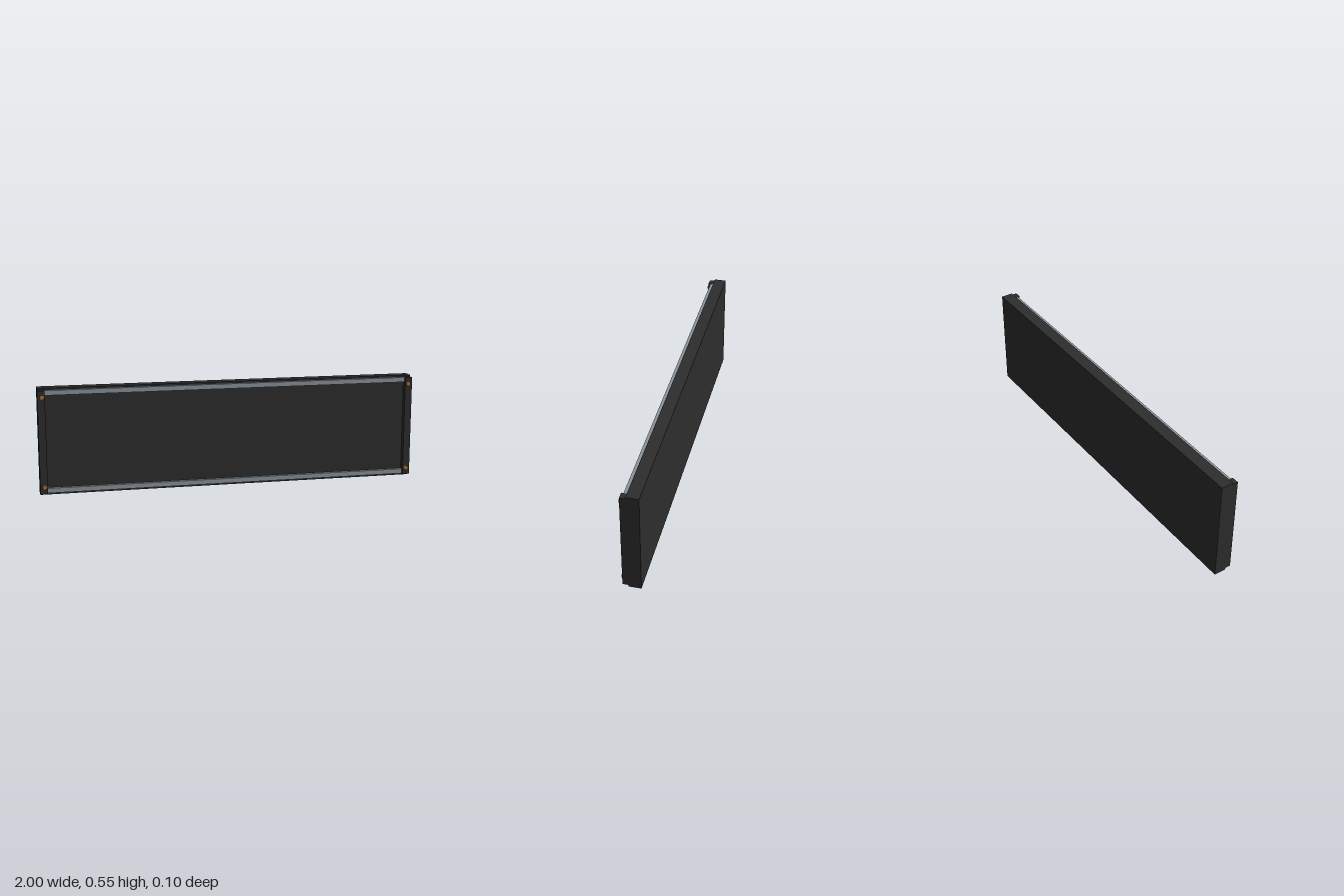
import * as THREE from 'three';

export function createModel() {
  const model = new THREE.Group();
  const material = (name, color) => {
    const m = new THREE.MeshStandardMaterial({ color });
    m.name = name;
    return m;
  };
  const black = material('black', 0x2d2d2d);
  const steel = material('steel', 0x8a949c);
  const brass = material('brass', 0xb0752f);

  const add = (name, geometry, mat, x, y, z) => {
    const mesh = new THREE.Mesh(geometry, mat);
    mesh.name = name;
    mesh.position.set(x, y, z);
    model.add(mesh);
    return mesh;
  };

  // Main panel
  add('panel', new THREE.BoxGeometry(2, 0.554, 0.064), black, 0, 0.277, -0.018);

  // Upper and lower rails between the end bars
  const railGeometry = new THREE.BoxGeometry(1.924, 0.025, 0.018);
  for (const [name, y] of [['lowerRail', 0.024], ['upperRail', 0.532]]) {
    add(name, railGeometry, steel, 0, y, 0.023);
  }

  // Rounded screw head profile, turned to face the front
  const profile = [[0.0125, 0], [0.0125, 0.003], [0.0115, 0.0055], [0.009, 0.007], [0, 0.007]]
    .map(([r, h]) => new THREE.Vector2(r, h));
  const screwGeometry = new THREE.LatheGeometry(profile, 20).rotateX(Math.PI / 2);

  // End bars, each held by two screws
  const barGeometry = new THREE.BoxGeometry(0.038, 0.535, 0.029);
  for (const side of [-1, 1]) {
    const label = side > 0 ? 'left' : 'right';
    add(label + 'EndBar', barGeometry, black, side * 0.981, 0.2775, 0.0285);
    for (const y of [0.045, 0.511]) {
      add(label + 'Screw', screwGeometry, brass, side * 0.977, y, 0.043);
    }
  }

  return model;
}
